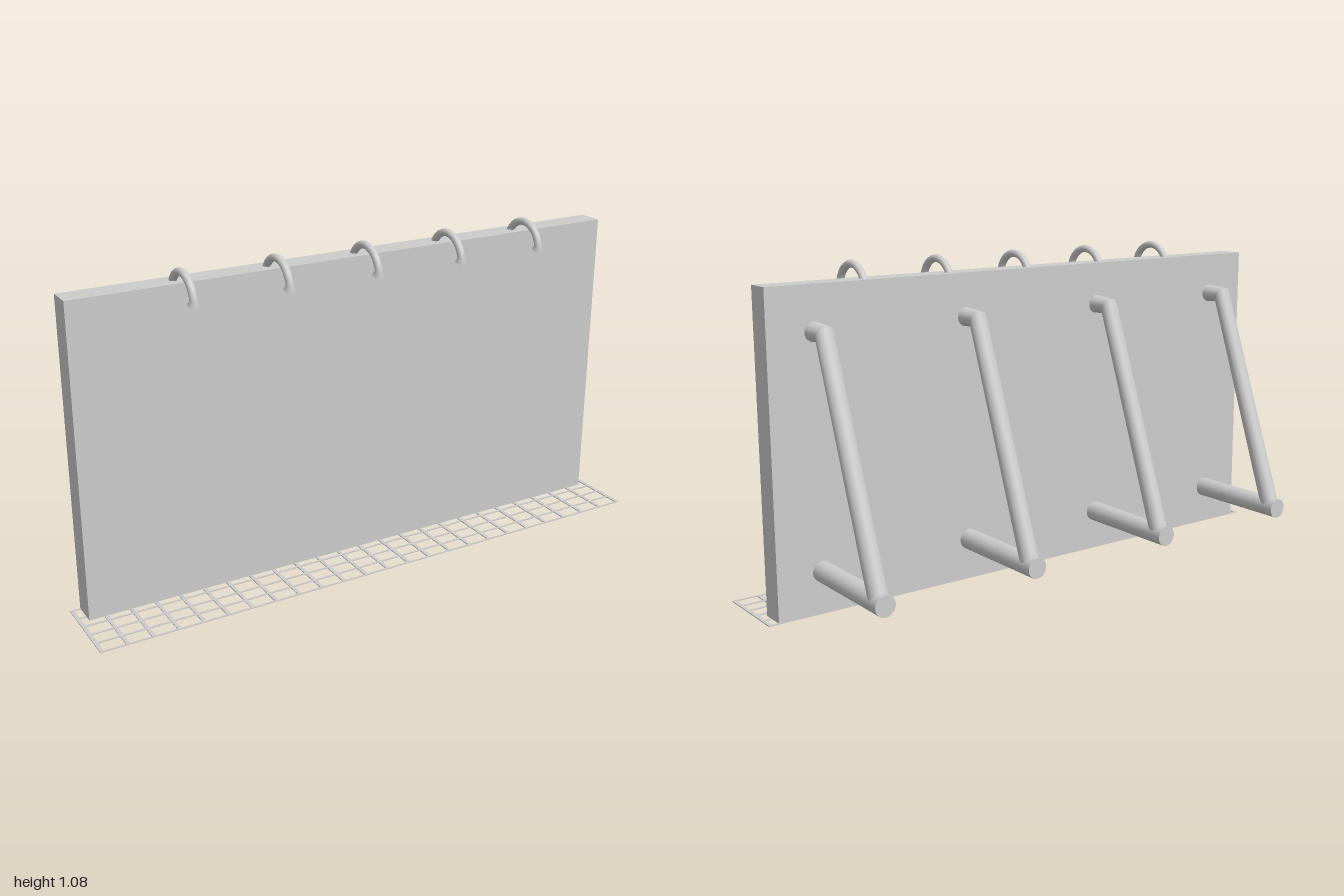
import * as THREE from 'three';

const material = new THREE.MeshStandardMaterial({ color: 0xcccccc });
const rad = THREE.MathUtils.degToRad;

// Round loft in the yz plane. Each ring is [y, z, radius, heading in degrees from +z].
// A ring given twice makes a crisp edge.
function loft(rings, sides = 24) {
  const first = rings[0], last = rings[rings.length - 1];
  const close = ([y, z, , a]) => [y, z, 0, a];
  const all = [close(first), first, ...rings, last, close(last)];
  const position = [], index = [];
  all.forEach(([y, z, r, a], i) => {
    for (let j = 0; j < sides; j++) {
      const t = (j / sides) * Math.PI * 2;
      const d = r * Math.sin(t);
      position.push(r * Math.cos(t), y + d * Math.cos(rad(a)), z - d * Math.sin(rad(a)));
      if (i === all.length - 1) continue;
      const k = (j + 1) % sides;
      const p = i * sides + j, q = i * sides + k;
      index.push(p, q, p + sides, q, q + sides, p + sides);
    }
  });
  const geometry = new THREE.BufferGeometry();
  geometry.setAttribute('position', new THREE.Float32BufferAttribute(position, 3));
  geometry.setIndex(index);
  geometry.computeVertexNormals();
  return geometry;
}

function add(parent, name, geometry, x = 0, y = 0, z = 0) {
  const mesh = new THREE.Mesh(geometry, material);
  mesh.name = name;
  mesh.position.set(x, y, z);
  parent.add(mesh);
  return mesh;
}

function addGroup(parent, name) {
  const group = new THREE.Group();
  group.name = name;
  parent.add(group);
  return group;
}

export function createModel() {
  const model = new THREE.Group();
  model.name = 'bracedPanel';

  // Upright panel
  add(model, 'panel', new THREE.BoxGeometry(1.934, 1.024, 0.083), 0, 0.514, 0.0975);

  // Rear braces: a level foot pipe and a bent diagonal strut
  const footPipe = new THREE.CylinderGeometry(0.034, 0.034, 0.385, 24).rotateX(Math.PI / 2);
  const miter = [0.883, -0.0135, 0.0315, 214.8];
  const strut = loft([[0.884, 0.06, 0.031, 180], miter, miter, [0.138, -0.289, 0.031, 249.6]]);
  for (const x of [-0.813, -0.271, 0.271, 0.813]) {
    const brace = addGroup(model, 'brace');
    brace.position.x = x;
    add(brace, 'footPipe', footPipe, 0, 0.138, -0.1325);
    add(brace, 'diagonalStrut', strut);
  }

  // Curved hooks along the top edge, each ending in a flared tip
  const rings = [];
  for (let phi = 160; phi >= 10; phi -= 10) {
    rings.push([
      0.985 + 0.081 * Math.sin(rad(phi)),
      0.164 + 0.081 * Math.cos(rad(phi)),
      0.0125, phi - 90,
    ]);
  }
  rings.push([0.987, 0.24, 0.019, -111]);
  const hook = loft(rings, 16);
  for (let i = -2; i <= 2; i++) add(model, 'hook', hook, i * 0.31);

  // Thin floor grate
  const grate = addGroup(model, 'floorGrate');
  const crossBar = new THREE.BoxGeometry(0.012, 0.003, 0.27);
  const longBar = new THREE.BoxGeometry(2, 0.003, 0.006);
  for (let i = 0; i <= 24; i++) {
    add(grate, 'crossBar', crossBar, -0.994 + (i * 1.988) / 24, 0.0015, 0.19);
  }
  for (let i = 0; i <= 5; i++) {
    add(grate, 'longBar', longBar, 0, 0.0015, 0.058 + i * 0.0528);
  }

  return model;
}
